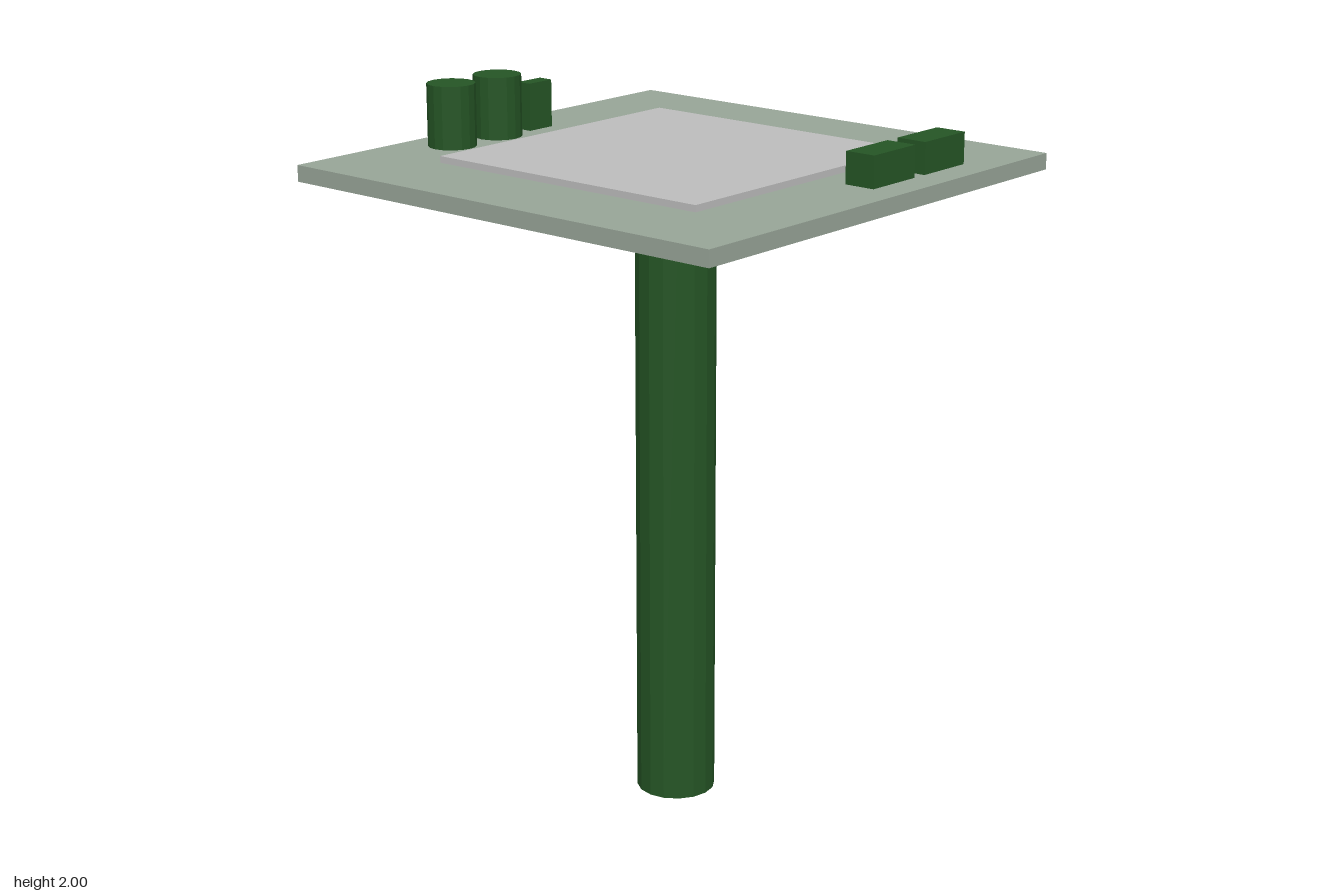
import * as THREE from 'three';

export function createModel() {
  const model = new THREE.Group();
  model.name = 'pedestalTable';

  const material = (name, color) => {
    const m = new THREE.MeshStandardMaterial({ color, flatShading: true });
    m.name = name;
    return m;
  };
  const green = material('darkGreen', 0x255525);
  const sage = material('sageGreen', 0x98a598);
  const grey = material('lightGrey', 0xbdbdbd);

  // Places a geometry of the given height with its base at y
  const add = (name, geometry, mat, x, y, z, height) => {
    const mesh = new THREE.Mesh(geometry, mat);
    mesh.name = name;
    mesh.position.set(x, y + height / 2, z);
    model.add(mesh);
  };
  const box = (name, mat, w, h, d, x, y, z) =>
    add(name, new THREE.BoxGeometry(w, h, d), mat, x, y, z, h);
  const cylinder = (name, mat, r, h, x, y, z) =>
    add(name, new THREE.CylinderGeometry(r, r, h, 16), mat, x, y, z, h);

  const under = 1.782, top = 1.827;

  // Post, square top and raised centre panel
  cylinder('post', green, 0.111, under, 0, 0, 0);
  box('tableTop', sage, 1.418, top - under, 1.418, 0, under, 0);
  box('centrePanel', grey, 0.886, 0.018, 0.886, 0, top, 0);

  // Two round canisters and a slim block on the right side
  for (const z of [0.086, 0.264]) cylinder('canister', green, 0.067, 2 - top, -0.577, top, z);
  box('slimBlock', green, 0.044, 0.133, 0.089, -0.577, top, -0.064);

  // Two low blocks on the left side
  for (const z of [-0.357, -0.135]) box('lowBlock', green, 0.089, 0.087, 0.178, 0.576, top, z);

  return model;
}
